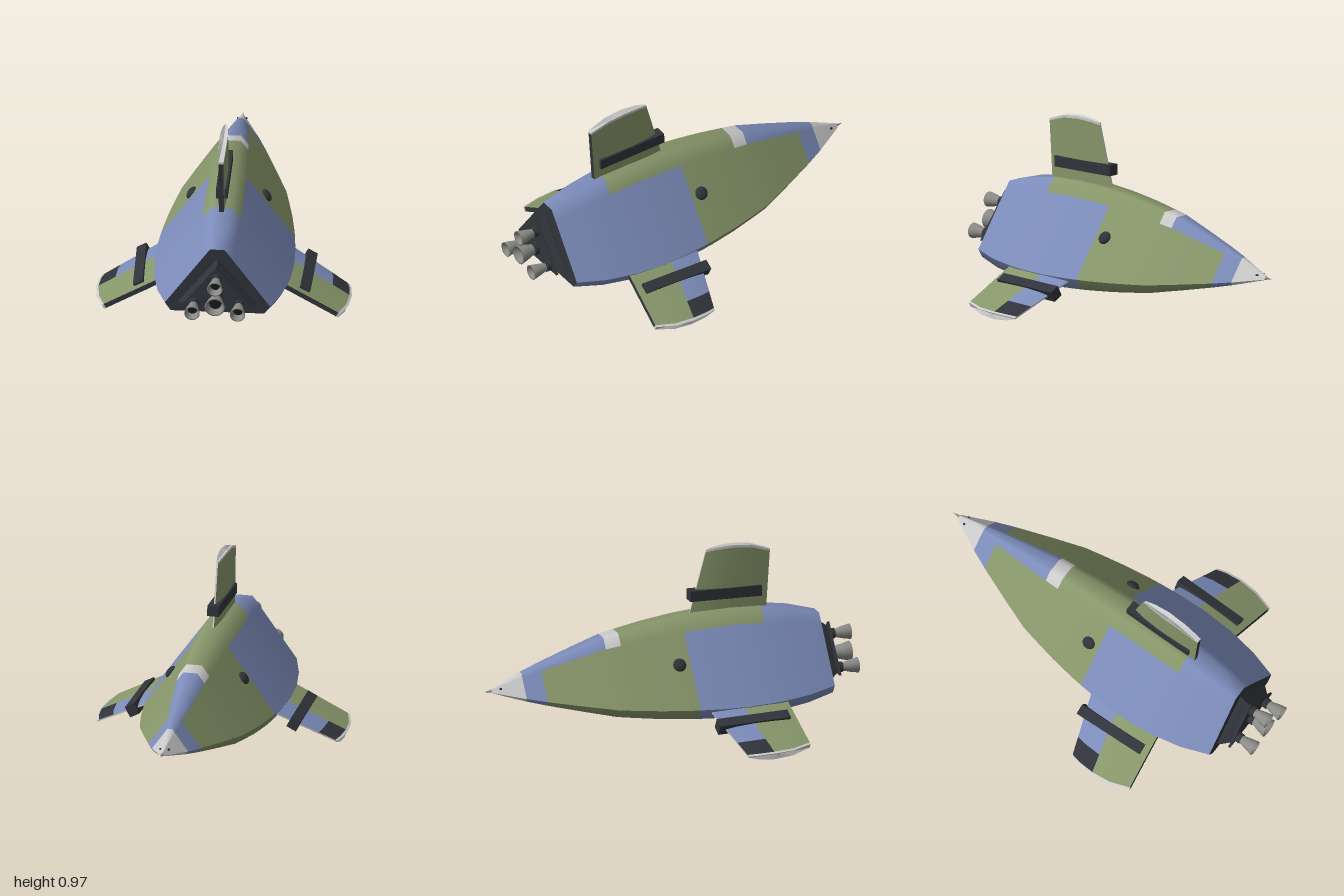
import * as THREE from 'three';
import { toCreasedNormals } from 'three/addons/utils/BufferGeometryUtils.js';

const material = (color) => new THREE.MeshStandardMaterial({ color, side: THREE.DoubleSide });
const MAT = {
  blue: material(0x7c8cba), green: material(0x87966a), dark: material(0x30343a),
  black: material(0x17191b), grey: material(0xcccccc), metal: material(0x8a8a86),
};
const AXIS_Y = 0.32;

// Skins a list of rings, closes both ends, and splits the skin by colour.
function loft(name, rings, colorAt, startColor, endColor, crease) {
  const n = rings[0].length, pos = rings.flat(2), index = [], colors = [];
  const tri = (a, b, c, color) => { index.push(a, b, c); colors.push(color); };
  for (let i = 0; i < rings.length - 1; i++) {
    for (let j = 0; j < n; j++) {
      const a = i * n + j, b = i * n + (j + 1) % n;
      const color = colorAt(i, j);
      tri(a, b, b + n, color);
      tri(a, b + n, a + n, color);
    }
  }
  const last = (rings.length - 1) * n;
  [[0, startColor], [last, endColor]].forEach(([base, color]) => {
    const ring = rings[base / n], mid = pos.length / 3;
    for (let k = 0; k < 3; k++) pos.push(ring.reduce((sum, p) => sum + p[k], 0) / n);
    for (let j = 0; j < n; j++) {
      const a = base + j, b = base + (j + 1) % n;
      if (base) tri(a, b, mid, color); else tri(b, a, mid, color);
    }
  });
  let geo = new THREE.BufferGeometry();
  geo.setAttribute('position', new THREE.Float32BufferAttribute(pos, 3));
  geo.setIndex(index);
  geo = toCreasedNormals(geo, crease);

  const group = new THREE.Group();
  group.name = name;
  for (const color of new Set(colors)) {
    const part = new THREE.BufferGeometry();
    part.setAttribute('position', geo.attributes.position);
    part.setAttribute('normal', geo.attributes.normal);
    part.setIndex(colors.flatMap((c, k) => (c === color ? [3 * k, 3 * k + 1, 3 * k + 2] : [])));
    const mesh = new THREE.Mesh(part, MAT[color]);
    mesh.name = `${name} ${color}`;
    group.add(mesh);
  }
  return group;
}

function add(parent, name, geometry, color, x = 0, y = 0, z = 0) {
  const mesh = new THREE.Mesh(geometry, MAT[color]);
  mesh.name = name;
  mesh.position.set(x, y, z);
  parent.add(mesh);
  return mesh;
}

// Scales a flat section about the ship's axis and sets it at z.
const ringAt = (section, s, z) => section.map(([x, y]) => [x * s, AXIS_Y + y * s, z]);

// Triangular hull with blunt corners, painted in blocks
function hull() {
  const half = [[0.32, -0.18], [0.36, -0.12], [0.34, -0.092], [0.1, 0.241], [0.05, 0.31]];
  const section = [...half, ...half.map(([x, y]) => [-x, y]).reverse()];
  const stations = [
    [-0.96, 0.04], [-0.9, 0.125], [-0.8, 0.265], [-0.7, 0.385], [-0.53, 0.57], [-0.36, 0.745],
    [-0.28, 0.795], [-0.14, 0.875], [0, 0.935], [0.06, 0.955], [0.18, 0.985], [0.33, 1],
    [0.5, 0.97], [0.67, 0.885], [0.82, 0.75],
  ];
  const colorAt = (i, j) => {
    const z = (stations[i][0] + stations[i + 1][0]) / 2;
    const ridge = j >= 3 && j <= 5;
    if (z < -0.8) return 'grey';
    if (z < -0.7) return 'blue';
    if (ridge) return z < -0.36 ? 'blue' : z < -0.28 ? 'grey' : z < 0.5 ? 'green' : 'blue';
    return z < 0.06 ? 'green' : 'blue';
  };
  const rings = stations.map(([z, s]) => ringAt(section, s, z));
  return loft('hull', rings, colorAt, 'grey', 'dark', 1.1);
}

// Lens-section fin growing along +y, with a strap round its root
function fin(name, patched) {
  const chord = [0, 0.15, 0.4, 0.7, 1];
  const thick = [0.004, 0.014, 0.021, 0.019, 0.013];
  const tip = [0.33, 0.34, 0.345, 0.335, 0.3];
  const spans = [-0.15, 0, 0.35, 0.68, 0.96, 1];
  const rings = spans.map((f) => {
    const lead = 0.125 + 0.09 * f, trail = 0.54 + 0.02 * f;
    const side = (sign) => chord.map((t, k) =>
      [sign * thick[k], f * tip[k], lead + (trail - lead) * t]);
    return [...side(-1), ...side(1).reverse()];
  });
  const colorAt = (i, j) => {
    if (i === 4) return 'grey';
    if (j === 4) return 'dark';
    if (j === 9) return 'grey';
    const k = j < 4 ? j : 8 - j;
    if (!patched || k > 1) return 'green';
    return i === 3 ? 'dark' : 'blue';
  };
  const group = loft(name, rings, colorAt, 'green', 'grey', 0.6);
  const strap = add(group, 'finStrap', new THREE.BoxGeometry(0.06, 0.056, 0.39), 'dark', 0, 0.09, 0.315);
  strap.rotation.x = 0.025;
  return group;
}

// Flared rocket bell opening toward +z, with a dark throat and a collar
function engine(name, x, y, r) {
  const group = new THREE.Group();
  group.name = name;
  group.position.set(x, y, 0.88);
  const profile = [[0.5, 0.02], [0.58, 0.045], [0.78, 0.075], [1, 0.12], [0.84, 0.12], [0.6, 0.08]]
    .map(([k, h]) => new THREE.Vector2(k * r, h));
  add(group, 'engineBell', new THREE.LatheGeometry(profile, 24), 'metal').rotation.x = Math.PI / 2;
  const collar = new THREE.CylinderGeometry(r * 0.68, r * 0.68, 0.04, 20);
  add(group, 'engineCollar', collar, 'dark', 0, 0, 0.015).rotation.x = Math.PI / 2;
  add(group, 'engineThroat', new THREE.CircleGeometry(r * 0.62, 20), 'black', 0, 0, 0.081);
  return group;
}

export function createModel() {
  const ship = new THREE.Group();
  ship.name = 'rocketShip';
  ship.add(hull());

  // Nose spike and small sensor studs
  const spike = add(ship, 'noseSpike', new THREE.ConeGeometry(0.013, 0.07, 12), 'metal', 0, AXIS_Y, -0.965);
  spike.rotation.x = -Math.PI / 2;
  for (const x of [-0.022, 0.022]) {
    add(ship, 'noseStud', new THREE.BoxGeometry(0.008, 0.008, 0.012), 'dark', x, AXIS_Y + 0.013, -0.915);
  }

  // Three fins, one on each corner
  ship.add(fin('topFin', false));
  ship.children.at(-1).position.y = 0.62;
  for (const side of [1, -1]) {
    const lower = fin(side > 0 ? 'leftFin' : 'rightFin', true);
    lower.position.set(side * 0.343, 0.18, 0);
    lower.rotation.z = -side * THREE.MathUtils.degToRad(118);
    ship.add(lower);
  }

  // One porthole on each flat face
  const angle = Math.atan2(0.31, 0.43);
  [[0.193, 0.411, angle], [-0.193, 0.411, Math.PI - angle], [0, 0.15, -Math.PI / 2]].forEach(([x, y, a]) => {
    const porthole = add(ship, 'porthole', new THREE.SphereGeometry(0.035, 24, 12), 'dark', x, y, 0);
    porthole.scale.x = 0.55;
    porthole.rotation.z = a;
  });

  // Tapered engine mount with a thin plate
  const mount = [[0.2, -0.075], [0, 0.18], [-0.2, -0.075]];
  const plain = () => 'dark';
  ship.add(loft('engineMount', [ringAt(mount, 1, 0.815), ringAt(mount, 0.98, 0.835), ringAt(mount, 0.76, 0.885)],
    plain, 'dark', 'dark', 0.3));
  ship.add(loft('enginePlate', [ringAt(mount, 0.92, 0.877), ringAt(mount, 0.92, 0.889)],
    plain, 'dark', 'dark', 0.3));

  // Main engine and three small ones
  ship.add(engine('mainEngine', 0, 0.315, 0.052));
  for (const [x, y] of [[0, 0.42], [0.117, 0.275], [-0.117, 0.275]]) {
    ship.add(engine('smallEngine', x, y, 0.04));
  }
  return ship;
}
